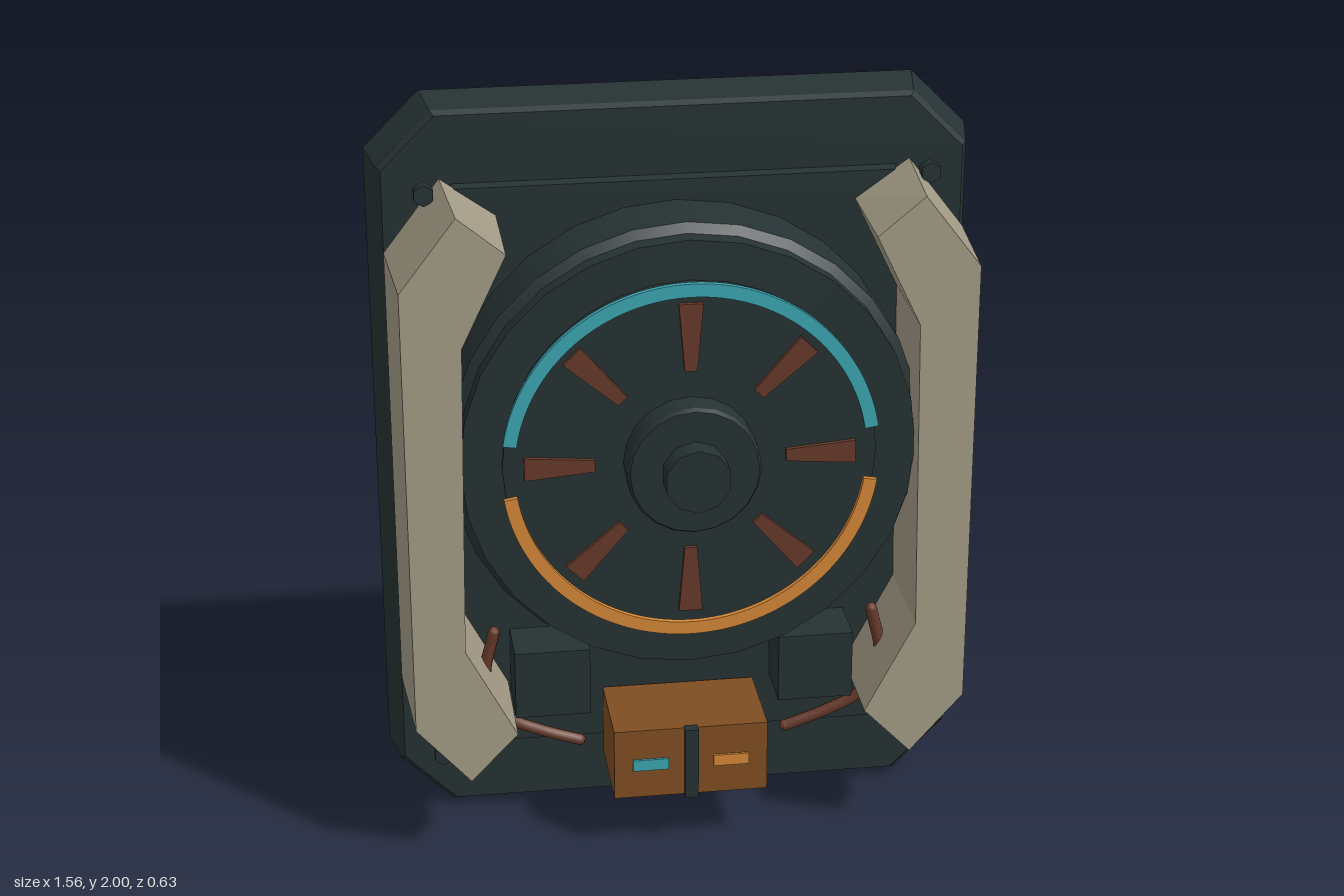
import * as THREE from 'three';

const mat = (name, color) => {
  const m = new THREE.MeshStandardMaterial({ color });
  m.name = name;
  return m;
};

export function createModel() {
  const dark = mat('dark metal', 0x263233);
  const beige = mat('beige armour', 0xa39b86);
  const rust = mat('rust copper', 0x66392a);
  const brown = mat('orange brown', 0x7f4d22);
  const teal = mat('teal light', 0x3ba5b2);
  const orange = mat('orange light', 0xd48738);

  const model = new THREE.Group();
  const add = (name, geometry, material, x = 0, y = 0, z = 0, parent = model) => {
    const mesh = new THREE.Mesh(geometry, material);
    mesh.name = name;
    mesh.position.set(x, y, z);
    parent.add(mesh);
    return mesh;
  };

  // Straight prism along z; the front face may be scaled to give tapered sides
  const prism = (points, z0, z1, sx = 1, sy = 1) => {
    const shape = new THREE.Shape(points.map(([x, y]) => new THREE.Vector2(x, y)));
    const g = new THREE.ExtrudeGeometry(shape, { depth: z1 - z0, bevelEnabled: false, curveSegments: 24 });
    const p = g.attributes.position;
    for (let i = 0; i < p.count; i++) {
      const front = p.getZ(i) > (z1 - z0) / 2;
      p.setXYZ(i, p.getX(i) * (front ? sx : 1), p.getY(i) * (front ? sy : 1), p.getZ(i) + z0);
    }
    g.computeVertexNormals();
    return g;
  };
  // Rectangle with cut corners
  const octagon = (w, h, c) => [
    [w - c, -h], [w, -h + c], [w, h - c], [w - c, h],
    [-w + c, h], [-w, h - c], [-w, -h + c], [-w + c, -h],
  ];
  // Round part facing the front
  const disc = (r, z0, z1, sides, rFront = r) => {
    const g = new THREE.CylinderGeometry(rFront, r, z1 - z0, sides);
    g.rotateX(Math.PI / 2);
    g.translate(0, 0, (z0 + z1) / 2);
    return g;
  };

  // Backing plate with a thin bevelled front lip
  add('backPlate', prism(octagon(0.78, 1, 0.145), -0.26, -0.13, 0.968, 0.986), dark, 0, 1);
  add('plateLip', prism(octagon(0.755, 0.986, 0.14), -0.13, -0.113, 0.985, 0.99), dark, 0, 1);
  add('rearPanel', prism(octagon(0.61, 0.805, 0.12), -0.318, -0.255), dark, 0, 1.005);
  add('frontPanel', prism(octagon(0.62, 0.795, 0.05), -0.12, -0.08, 0.99, 0.995), dark, 0, 1.003);

  // Round drum with stepped rim
  const rotor = new THREE.Group();
  rotor.name = 'rotor';
  rotor.position.y = 1.13;
  model.add(rotor);
  const turn = (name, ...a) => add(name, disc(...a), dark, 0, 0, 0, rotor);
  turn('drum', 0.61, -0.085, 0.09, 28);
  turn('drumEdge', 0.61, 0.09, 0.105, 28, 0.585);
  turn('drumRim', 0.585, 0.105, 0.155, 28);
  turn('drumFace', 0.48, 0.15, 0.168, 32);
  turn('hub', 0.172, 0.16, 0.24, 20);
  turn('hubEdge', 0.172, 0.24, 0.252, 20, 0.165);
  turn('hubCap', 0.085, 0.25, 0.315, 10);

  // Radial fins
  for (let i = 0; i < 8; i++) {
    const fin = prism([[0.245, -0.016], [0.425, -0.031], [0.425, 0.031], [0.245, 0.016]], 0.155, 0.18);
    add('fin', fin, rust, 0, 0, 0, rotor).rotation.z = i * Math.PI / 4;
  }

  // Upper and lower light arcs
  const arc = () => {
    const a = 0.155, b = Math.PI - 0.155;
    const shape = new THREE.Shape();
    shape.absarc(0, 0, 0.485, a, b, false);
    shape.absarc(0, 0, 0.45, b, a, true);
    const g = new THREE.ExtrudeGeometry(shape, { depth: 0.015, bevelEnabled: false, curveSegments: 32 });
    return g.translate(0, 0, 0.182);
  };
  add('upperLightArc', arc(), teal, 0, 0, 0, rotor);
  add('lowerLightArc', arc(), orange, 0, 0, 0, rotor).rotation.z = Math.PI;

  // Parts mirrored left and right
  for (const s of [1, -1]) {
    // Side guard: the outer side leans inwards towards the front
    const outline = [
      [0.6, 0.82], [0.46, 0.72], [0.575, 0.48], [0.59, -0.36],
      [0.46, -0.61], [0.585, -0.74], [0.745, -0.58], [0.745, 0.63],
    ].map(([x, y]) => [x * s, y]);
    const guard = prism(outline, -0.09, 0.213);
    const p = guard.attributes.position;
    for (let i = 0; i < p.count; i++) {
      if (p.getZ(i) > 0 && Math.abs(p.getX(i)) > 0.59) p.setX(i, p.getX(i) - s * 0.02);
    }
    guard.computeVertexNormals();
    add('sideGuard', guard, beige, 0, 1);

    // Small block below the drum
    add('lowerBlock', new THREE.BoxGeometry(0.2, 0.19, 0.16), dark, 0.353 * s, 0.455, -0.01);

    // Bent pipe
    const path = new THREE.CatmullRomCurve3([
      [0.28, 0.26, 0.03], [0.39, 0.305, 0.04], [0.48, 0.36, 0.05], [0.53, 0.47, 0.05], [0.505, 0.61, 0.05],
    ].map(([x, y, z]) => new THREE.Vector3(x * s, y, z)));
    add('pipe', new THREE.TubeGeometry(path, 20, 0.016, 8), rust);
    for (const t of [0, 1]) add('pipeEnd', new THREE.SphereGeometry(0.016, 8, 6), rust, ...path.getPoint(t).toArray());

    // Corner bolts
    for (const y of [0.21, 1.8]) add('bolt', disc(0.028, -0.05, -0.018, 6), dark, 0.643 * s, y);

    // Indicator lamp on the lower box
    add('lamp', new THREE.BoxGeometry(0.095, 0.032, 0.008), s < 0 ? teal : orange, 0.108 * s, 0.258, 0.188);
  }

  // Lower box with a central strap
  add('lowerBox', new THREE.BoxGeometry(0.41, 0.2, 0.255), brown, 0, 0.26, 0.058);
  add('boxStrap', new THREE.BoxGeometry(0.036, 0.204, 0.03), dark, 0, 0.26, 0.19);

  return model;
}
